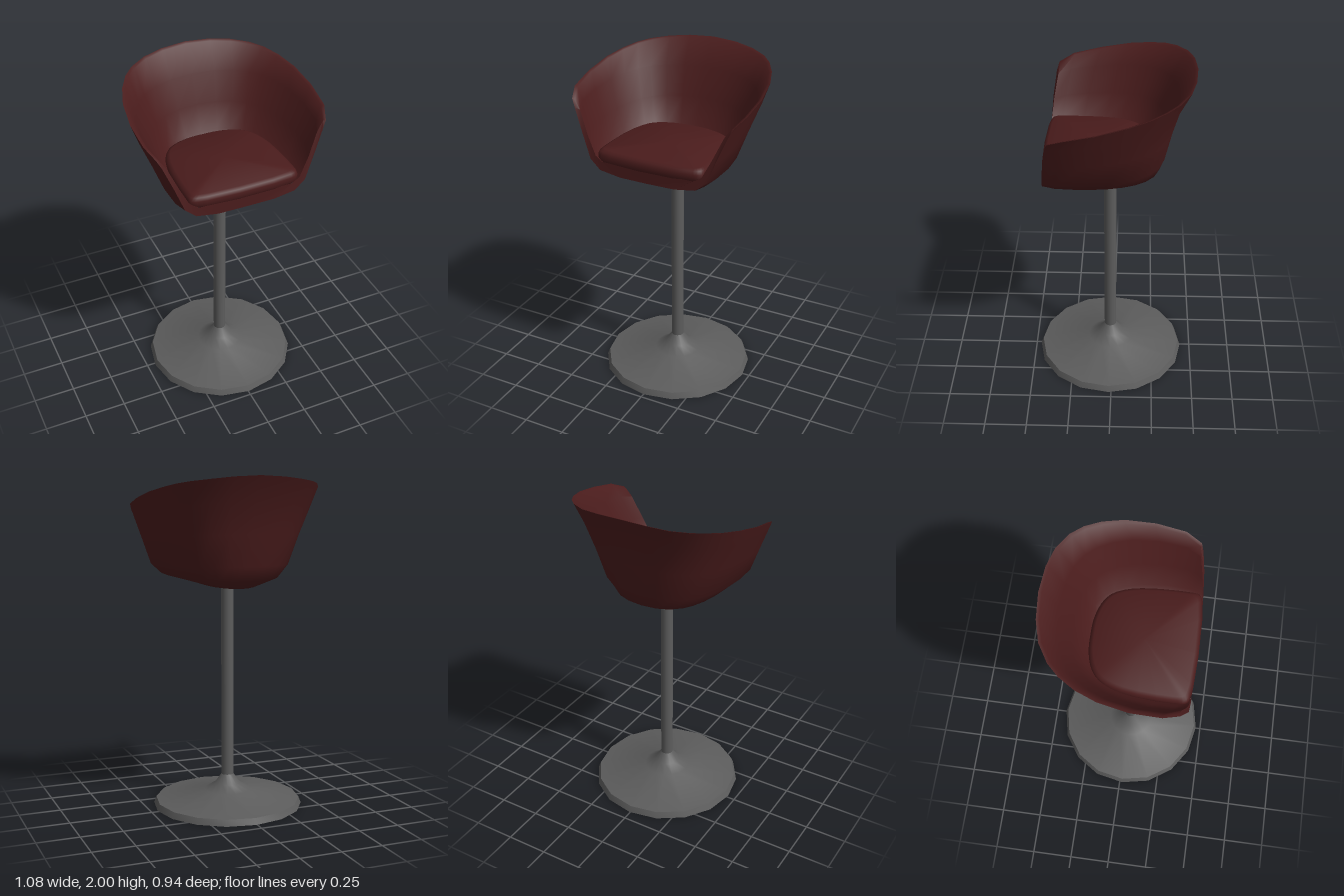
import * as THREE from 'three';
import { toCreasedNormals } from 'three/addons/utils/BufferGeometryUtils.js';

// Joins rings of equal point count into a surface; foldEnds also closes the two
// ends and leaves out the hidden last band
function loft(rings, foldEnds = false) {
  const n = rings[0].length, last = rings.length - 1;
  const positions = rings.flat().flatMap((p) => [p.x, p.y, p.z]);
  const index = [];
  const id = (k, j) => k * n + j;
  const quad = (a, b, c, d) => index.push(a, b, c, a, c, d);
  for (let k = 0; k < (foldEnds ? last - 1 : last); k++) {
    for (let j = 0; j < n - 1; j++) {
      quad(id(k, j), id(k, j + 1), id(k + 1, j + 1), id(k + 1, j));
    }
  }
  if (foldEnds) {
    const e = n - 1;
    for (let k = 0; k < last / 2; k++) {
      quad(id(k, 0), id(k + 1, 0), id(last - k - 1, 0), id(last - k, 0));
      quad(id(last - k, e), id(last - k - 1, e), id(k + 1, e), id(k, e));
    }
  }
  const geometry = new THREE.BufferGeometry();
  geometry.setAttribute('position', new THREE.Float32BufferAttribute(positions, 3));
  geometry.setIndex(index);
  return toCreasedNormals(geometry, 1.0);
}

// Left half of a plan outline followed by its mirror image
function mirrored(half) {
  const right = half.filter(([x]) => x > 0).reverse().map(([x, z, y]) => [-x, z, y]);
  return [...half, ...right].map(([x, z, y = 0]) => new THREE.Vector3(x, y, z));
}

// Bucket shell: x is a share of the half width, z runs from 0 (front) to 1 (back),
// the third number is the share of the rise, dipping at the rounded arm tips
function shellGeometry() {
  const plan = mirrored([
    [0.92, 0, -0.15], [0.985, 0.11, 0.08], [1, 0.32, 0.29], [0.96, 0.53, 0.5], [0.885, 0.68, 0.64],
    [0.79, 0.79, 0.75], [0.68, 0.87, 0.82], [0.5, 0.945, 0.89], [0.28, 0.985, 0.96], [0, 1, 1],
  ]);
  // half width, back z, front z, front y, back y
  const sections = [
    [0, -0.05, 0.387, 1.385, 1.348],
    [0.185, -0.19, 0.39, 1.388, 1.348],
    [0.325, -0.275, 0.388, 1.412, 1.4],
    [0.395, -0.305, 0.382, 1.47, 1.485],
    [0.455, -0.345, 0.37, 1.62, 1.67],
    [0.515, -0.395, 0.35, 1.76, 1.85],
    [0.542, -0.467, 0.335, 1.82, 2.0], // rim
    [0.525, -0.45, 0.33, 1.815, 1.993],
    [0.485, -0.37, 0.34, 1.75, 1.84],
    [0.42, -0.305, 0.365, 1.61, 1.67],
    [0.36, -0.25, 0.378, 1.495, 1.52],
    [0.31, -0.2, 0.385, 1.465, 1.465],
    [0, 0, 0.39, 1.465, 1.465],
  ];
  const rings = sections.map(([w, back, front, yFront, yBack]) => plan.map((p) => new THREE.Vector3(
    p.x * w,
    THREE.MathUtils.lerp(yFront, yBack, p.y),
    THREE.MathUtils.lerp(front, back, p.z),
  )));
  return loft(rings, true);
}

// Padded seat: one closed outline scaled about its middle at each height
function cushionGeometry() {
  const outline = new THREE.CatmullRomCurve3(mirrored([
    [0.325, 0.36], [0.333, 0.3], [0.315, 0], [0.265, -0.13], [0.2, -0.18],
    [0.1, -0.21], [0, -0.215],
  ]).concat([new THREE.Vector3(-0.28, 0, 0.383), new THREE.Vector3(0.28, 0, 0.383)]), true).getPoints(48);
  const layers = [[0.97, 1.455], [1, 1.47], [1, 1.5], [0.975, 1.52], [0.92, 1.53], [0, 1.535]];
  const middle = 0.09;
  return loft(layers.map(([s, y]) => outline.map((p) => (
    new THREE.Vector3(p.x * s, y, middle + (p.z - middle) * s)
  ))));
}

export function createModel() {
  const upholstery = new THREE.MeshStandardMaterial({ color: 0x4a1c1c });
  upholstery.name = 'dark red upholstery';
  const metal = new THREE.MeshStandardMaterial({ color: 0x5c5c5c });
  metal.name = 'grey metal';

  const model = new THREE.Group();
  model.name = 'barChair';
  const add = (name, geometry, material, x = 0, y = 0, z = 0) => {
    const mesh = new THREE.Mesh(geometry, material);
    mesh.name = name;
    mesh.position.set(x, y, z);
    model.add(mesh);
  };

  // Flared foot and column share an axis slightly off the centre
  const axisX = 0.004, axisZ = 0.016;
  const footProfile = [[0, 0], [0.455, 0], [0.44, 0.037], [0.14, 0.09], [0.077, 0.13], [0.037, 0.185]]
    .map(([x, y]) => new THREE.Vector2(x, y));
  add('foot', toCreasedNormals(new THREE.LatheGeometry(footProfile, 16), 0.6), metal, axisX, 0, axisZ);
  add('column', new THREE.CylinderGeometry(0.037, 0.037, 1.19, 16, 1, true), metal, axisX, 0.775, axisZ);

  add('seatShell', shellGeometry(), upholstery);
  add('seatCushion', cushionGeometry(), upholstery);
  return model;
}
